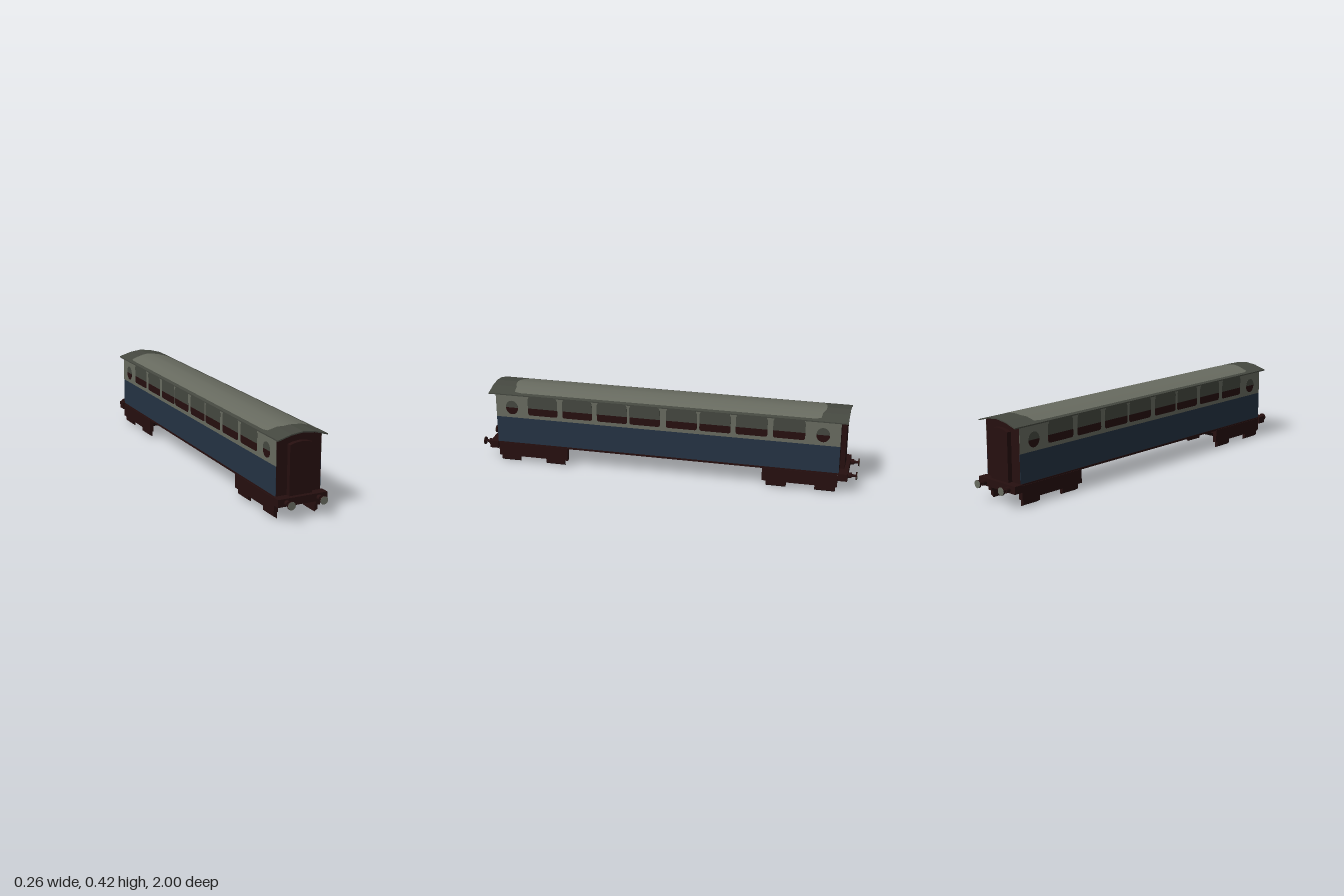
import * as THREE from 'three';

const mat = (name, color) => new THREE.MeshStandardMaterial({ name, color });

export function createModel() {
  const M = {
    maroon: mat('dark maroon', 0x260f0f),
    blue: mat('navy blue', 0x253344),
    cream: mat('grey cream', 0x686b60),
    roof: mat('dark roof grey', 0x454840),
  };
  const model = new THREE.Group();
  model.name = 'railwayCarriage';

  const add = (parent, name, geo, material, x = 0, y = 0, z = 0) => {
    const m = new THREE.Mesh(geo, material);
    m.name = name;
    m.position.set(x, y, z);
    parent.add(m);
    return m;
  };
  // box given by its limits
  const box = (parent, name, material, x0, x1, y0, y1, z0, z1) =>
    add(parent, name, new THREE.BoxGeometry(x1 - x0, y1 - y0, z1 - z0), material,
      (x0 + x1) / 2, (y0 + y1) / 2, (z0 + z1) / 2);
  const poly = (pts) => new THREE.Shape(pts.map((p) => new THREE.Vector2(p[0], p[1])));
  // cross-section in x,y pulled along z
  const prism = (parent, name, material, pts, z0, z1) =>
    add(parent, name, new THREE.ExtrudeGeometry(poly(pts), { depth: z1 - z0, bevelEnabled: false }),
      material, 0, 0, z0);

  // Body core with arched ends
  prism(model, 'bodyShell', M.maroon, [[-0.117, 0.108], [0.117, 0.108], [0.117, 0.386],
    [0.06, 0.403], [0, 0.41], [-0.06, 0.403], [-0.117, 0.386]], -0.908, 0.908);
  box(model, 'underframe', M.maroon, -0.12, 0.12, 0.102, 0.112, -0.908, 0.908);

  // Roof with overhanging eaves
  const roofX = [-0.13, -0.06, 0, 0.06, 0.13];
  const roofY = [0.389, 0.409, 0.416, 0.409, 0.389];
  const top = roofX.map((x, i) => [x, roofY[i]]);
  const under = top.map(([x, y]) => [x, y - 0.006]);
  prism(model, 'roof', M.roof, [...under, ...top.reverse()], -0.942, 0.942);

  // Light roof panel with rounded ends, lying just over the roof
  const px = [-0.113, -0.105, -0.06, -0.03, 0, 0.03, 0.06, 0.105, 0.113];
  const pz = [0.775, 0.805, 0.81, 0.822, 0.824, 0.822, 0.81, 0.805, 0.775];
  const roofHeight = (x) => {
    const a = Math.abs(x);
    return a < 0.06 ? 0.416 - a * 0.007 / 0.06 : 0.409 - (a - 0.06) * 0.02 / 0.07;
  };
  const pos = [], idx = [];
  px.forEach((x, i) => {
    const y = roofHeight(x) + 0.001;
    pos.push(x, y, pz[i], x, y, -pz[i]);
    if (i) {
      const a = 2 * i - 2;
      idx.push(a, a + 2, a + 3, a, a + 3, a + 1);
    }
  });
  const panel = new THREE.BufferGeometry();
  panel.setAttribute('position', new THREE.Float32BufferAttribute(pos, 3));
  panel.setIndex(idx);
  panel.computeVertexNormals();
  add(model, 'roofPanel', panel, M.cream);

  // Window outlines: rounded lower pane, upper shade
  const pane = (w, y0, y1, r) => {
    const s = new THREE.Shape();
    s.moveTo(-w, y1);
    s.lineTo(-w, y0 + r);
    s.quadraticCurveTo(-w, y0, -w + r, y0);
    s.lineTo(w - r, y0);
    s.quadraticCurveTo(w, y0, w, y0 + r);
    s.lineTo(w, y1);
    return s;
  };
  const halfRound = (a0, a1) => {
    const s = new THREE.Shape();
    s.absellipse(0, 0.312, 0.034, 0.038, a0, a1, false, 0);
    return s;
  };
  const shade = poly([[-0.081, 0.315], [0.081, 0.315], [0.081, 0.365], [0.074, 0.38],
    [-0.074, 0.38], [-0.081, 0.365]]);
  const windowZ = [0.65, 0.46, 0.272, 0.097];

  // Both side walls
  for (const s of [1, -1]) {
    const side = new THREE.Group();
    side.name = s > 0 ? 'leftSide' : 'rightSide';
    side.position.x = s * 0.117;
    side.rotation.y = s * Math.PI / 2;
    model.add(side);
    box(side, 'lowerPanel', M.blue, -0.908, 0.908, 0.112, 0.256, 0, 0.0015);
    box(side, 'upperPanel', M.cream, -0.908, 0.908, 0.256, 0.387, 0, 0.0015);
    const plate = (name, shape, material, u) =>
      add(side, name, new THREE.ExtrudeGeometry(shape, { depth: 0.001, bevelEnabled: false }),
        material, u, 0, 0.0015);
    for (const e of [1, -1]) {
      for (const z of windowZ) {
        plate('windowPane', pane(0.081, 0.276, 0.315, 0.014), M.maroon, e * z);
        plate('windowShade', shade, M.roof, e * z);
      }
      plate('roundWindowPane', halfRound(Math.PI, Math.PI * 2), M.maroon, e * 0.82);
      plate('roundWindowShade', halfRound(0, Math.PI), M.roof, e * 0.82);
    }
  }

  // Both ends: gangway, buffer beam, buffers and bogie
  for (const s of [1, -1]) {
    const end = new THREE.Group();
    end.name = s > 0 ? 'frontEnd' : 'backEnd';
    end.rotation.y = s > 0 ? 0 : Math.PI;
    model.add(end);

    prism(end, 'gangway', M.maroon, [[-0.06, 0.108], [0.06, 0.108], [0.06, 0.355],
      [0.035, 0.363], [0, 0.367], [-0.035, 0.363], [-0.06, 0.355]], 0.9, 0.932);
    box(end, 'bufferBeam', M.maroon, -0.13, 0.13, 0.075, 0.113, 0.905, 0.953);

    for (const x of [-0.085, 0.085]) {
      const rod = (name, r, z0, z1, material) => {
        const g = new THREE.CylinderGeometry(r, r, z1 - z0, 12).rotateX(Math.PI / 2);
        add(end, name, g, material, x, 0.092, (z0 + z1) / 2);
      };
      rod('bufferHousing', 0.014, 0.95, 0.972, M.maroon);
      rod('bufferRod', 0.007, 0.97, 0.996, M.maroon);
      rod('bufferBack', 0.02, 0.992, 0.998, M.maroon);
      rod('bufferFace', 0.02, 0.998, 1, M.cream);
    }

    const bogie = new THREE.Group();
    bogie.name = 'bogie';
    end.add(bogie);
    // Belly tray, sloping up at both ends
    const tray = new THREE.ExtrudeGeometry(
      poly([[-0.87, 0.105], [-0.87, 0.075], [-0.80, 0.035], [-0.62, 0.035], [-0.55, 0.075], [-0.55, 0.105]]),
      { depth: 0.17, bevelEnabled: false });
    tray.translate(0, 0, -0.085).rotateY(Math.PI / 2);
    add(bogie, 'bogieTray', tray, M.maroon);
    for (const m of [1, -1]) {
      const x0 = m > 0 ? 0.1 : -0.123;
      box(bogie, 'bogieSideFrame', M.maroon, x0, x0 + 0.023, 0.035, 0.105, 0.52, 0.903);
      // Wheels with coned lower edge
      const wheel = [[m * 0.1, 0], [m * 0.117, 0.011], [m * 0.117, 0.09], [m * 0.1, 0.09]];
      for (const z of [0.54, 0.79])
        prism(bogie, 'wheel', M.maroon, wheel, z, z + 0.103);
    }
  }
  return model;
}
